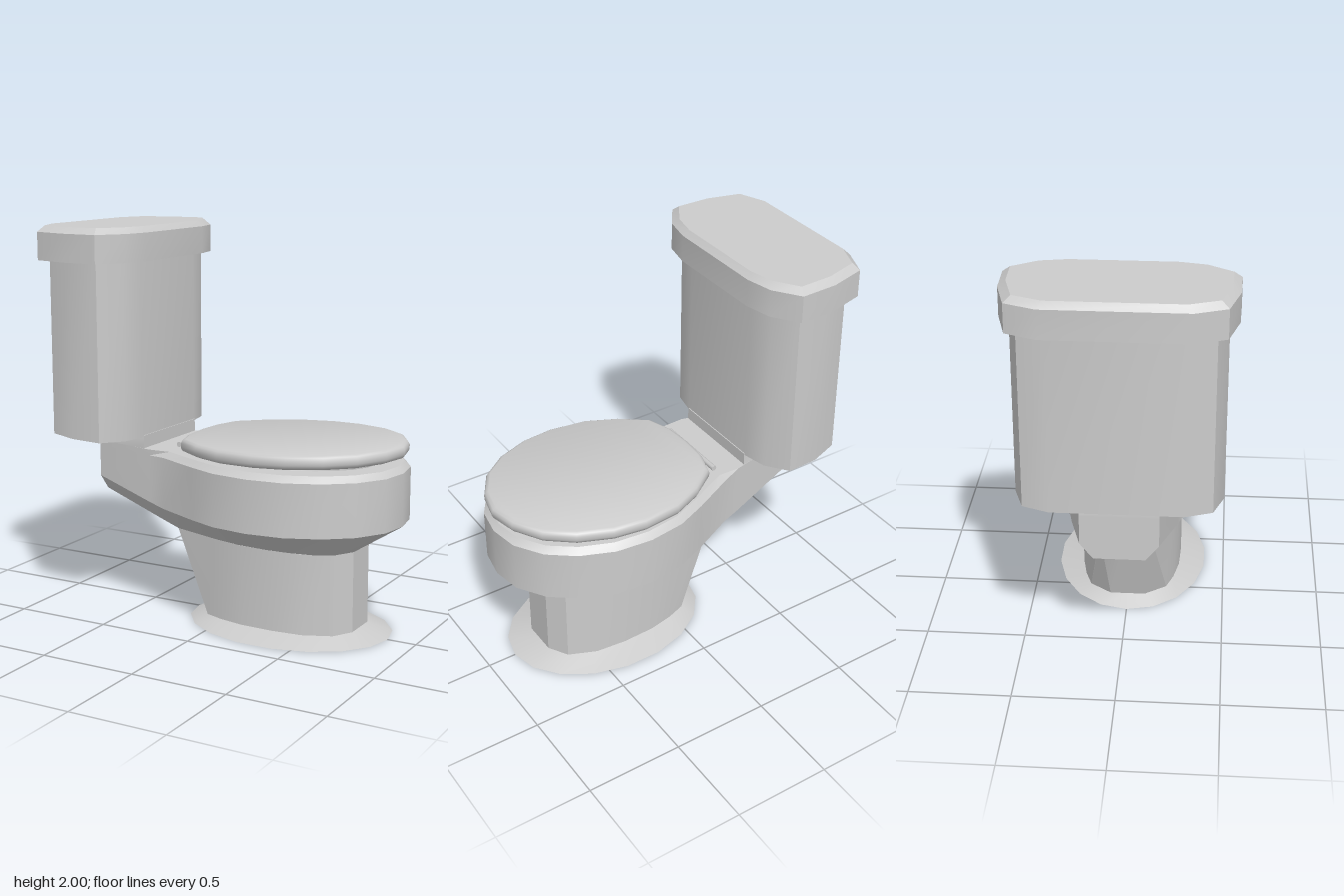
import * as THREE from 'three';
import { toCreasedNormals } from 'three/addons/utils/BufferGeometryUtils.js';

const material = new THREE.MeshStandardMaterial({ color: 0xcccccc });

// Half outline [x, z] from front to back, mirrored into a closed ring at height y (number or function of x and index)
function ring(half, y) {
  const pts = half.map(([x, z], i) => new THREE.Vector3(x, typeof y === 'function' ? y(x, i) : y, z));
  const mirrored = pts.map(p => new THREE.Vector3(p.x, p.y, -p.z)).reverse();
  return [...pts, ...mirrored];
}

// Skin a stack of rings; the optional caps run across from each point to its mirror
function loft(rings, capFirst = true, capLast = true, crease = 0.5) {
  const pos = [];
  const tri = (a, b, c) => {
    const area = b.clone().sub(a).cross(c.clone().sub(a)).length();
    if (area > 1e-7) for (const p of [a, b, c]) pos.push(p.x, p.y, p.z);
  };
  const n = rings[0].length;
  for (let r = 0; r + 1 < rings.length; r++) {
    const lo = rings[r], hi = rings[r + 1];
    for (let i = 0; i < n; i++) {
      const j = (i + 1) % n;
      tri(lo[i], hi[i], lo[j]);
      tri(lo[j], hi[i], hi[j]);
    }
  }
  const cap = (q, up) => {
    for (let i = 0; i + 1 < n / 2; i++) {
      const a = q[i], b = q[i + 1], c = q[n - 2 - i], d = q[n - 1 - i];
      if (up) { tri(a, c, b); tri(a, d, c); } else { tri(a, b, c); tri(a, c, d); }
    }
  };
  if (capFirst) cap(rings[0], false);
  if (capLast) cap(rings[rings.length - 1], true);
  const geometry = new THREE.BufferGeometry();
  geometry.setAttribute('position', new THREE.Float32BufferAttribute(pos, 3));
  return toCreasedNormals(geometry, crease);
}

// Scale a half outline about the point (cx, 0)
const scaled = (half, cx, sx, sz = sx) => half.map(([x, z]) => [cx + (x - cx) * sx, z * sz]);

// Half ellipse with n segments
const ellipse = (cx, rx, rz, n) => Array.from({ length: n + 1 }, (_, i) => {
  const a = Math.PI * i / n;
  return [cx + rx * Math.cos(a), i % n ? rz * Math.sin(a) : 0];
});

export function createModel() {
  const group = new THREE.Group();
  const add = (name, geometry) => {
    const mesh = new THREE.Mesh(geometry, material);
    mesh.name = name;
    group.add(mesh);
    return mesh;
  };

  // Pedestal: hollow inside, flared foot, leaning back face
  const footTop = [[0.7, 0], [0.7, 0.09], [0.64, 0.19], [0.5, 0.25], [0.34, 0.265], [0.17, 0.26],
    [0.04, 0.235], [-0.06, 0.2], [-0.14, 0.09], [-0.14, 0]];
  const neck = [[0.7, 0], [0.7, 0.09], [0.64, 0.19], [0.5, 0.25], [0.34, 0.265], [0.17, 0.26],
    [0.0, 0.22], [-0.27, 0.135], [-0.27, 0.13], [-0.27, 0]];
  const hole = ellipse(0.31, 0.34, 0.23, 9);
  const inner = ellipse(0.31, 0.31, 0.2, 9);
  add('pedestal', loft([
    ring(inner, 0.42), ring(inner, 0.04), ring(hole, 0),
    ring(ellipse(0.31, 0.54, 0.4, 9), 0), ring(footTop, 0.04), ring(neck, 0.45),
  ]));

  // Bowl body: oval rim narrowing into the block that carries the tank
  const rim = [[0.915, 0], [0.89, 0.15], [0.8, 0.29], [0.67, 0.39], [0.5, 0.46], [0.31, 0.48],
    [0.12, 0.455], [-0.04, 0.39], [-0.27, 0.28], [-0.36, 0.265], [-0.71, 0.19]];
  const under = [[0.7, 0], [0.7, 0.09], [0.64, 0.19], [0.55, 0.235], [0.43, 0.258], [0.31, 0.265],
    [0.15, 0.255], [0.0, 0.22], [-0.27, 0.135], [-0.36, 0.135], [-0.71, 0.125]];
  const deck = rim.map(([x, z]) => x > -0.3 ? [0.31 + (x - 0.31) * 0.95, z * 0.93] : [x, z]);
  const rise = (base, slope) => x => base + Math.max(0, -0.27 - x) * slope;
  add('bowl', loft([
    ring(under, rise(0.45, 0.364)), ring(rim, rise(0.585, 0.24)),
    ring(rim, 0.85), ring(deck, 0.88),
  ], true, false, 0.45));

  // Deck with the basin opening
  const basinTop = ellipse(0.36, 0.42, 0.33, 12);
  const shape = new THREE.Shape(ring(deck, 0).map(p => new THREE.Vector2(p.x, -p.z)));
  shape.holes.push(new THREE.Path(
    ring(basinTop, 0).slice(0, -1).filter((p, i) => i !== 12).map(p => new THREE.Vector2(p.x, -p.z))));
  add('rimDeck', new THREE.ShapeGeometry(shape).rotateX(-Math.PI / 2).translate(0, 0.88, 0));
  add('basin', loft([
    ring(basinTop, 0.88), ring(scaled(basinTop, 0.34, 0.9), 0.7),
    ring(scaled(basinTop, 0.34, 0.6), 0.54), ring(scaled(basinTop, 0.34, 0.3), 0.48),
  ], false, true, 0.8));

  // Raised block below the tank
  const block = [[-0.4, 0.255], [-0.71, 0.19]];
  add('tankSupport', loft([ring(block, 0.84), ring(block, 0.88), ring([[-0.4, 0.25], [-0.68, 0.17]], 0.945)]));

  // Tank, with a slightly sloping bottom
  const tank = [[-0.405, 0.25], [-0.43, 0.375], [-0.51, 0.49], [-0.67, 0.49], [-0.82, 0.44], [-0.872, 0.31]];
  add('tank', loft([ring(tank, x => 0.935 + (-0.405 - x) * 0.035), ring(tank, 1.85)]));

  // Tank lid with a bevelled top edge
  const lid = [[-0.36, 0.27], [-0.39, 0.41], [-0.48, 0.54], [-0.67, 0.535], [-0.86, 0.485], [-0.922, 0.335]];
  add('tankLid', loft([ring(lid, 1.83), ring(lid, 1.97), ring(scaled(lid, -0.64, 0.9, 0.93), 2)], true, true, 0.4));

  // Seat cover: rounded edge, tilted up a little towards the front
  const cover = [[0.917, 0], [0.885, 0.14], [0.8, 0.28], [0.67, 0.38], [0.5, 0.445], [0.33, 0.465],
    [0.13, 0.44], [-0.03, 0.37], [-0.17, 0.27], [-0.215, 0.14], [-0.225, 0]];
  const edge = [[0.95, 0], [0.985, 0.008], [1, 0.024], [1, 0.046], [0.987, 0.06], [0.96, 0.068]];
  add('seatCover', loft(edge.map(([s, h]) =>
    ring(scaled(cover, 0.34, s), x => 0.886 + h + (x + 0.22) * 0.028)), true, true, 0.8));

  // Hinge bar behind the cover
  const hinge = add('hinge', new THREE.CylinderGeometry(0.014, 0.014, 0.41, 8));
  hinge.rotation.x = Math.PI / 2;
  hinge.position.set(-0.232, 0.905, -0.02);

  return group;
}
